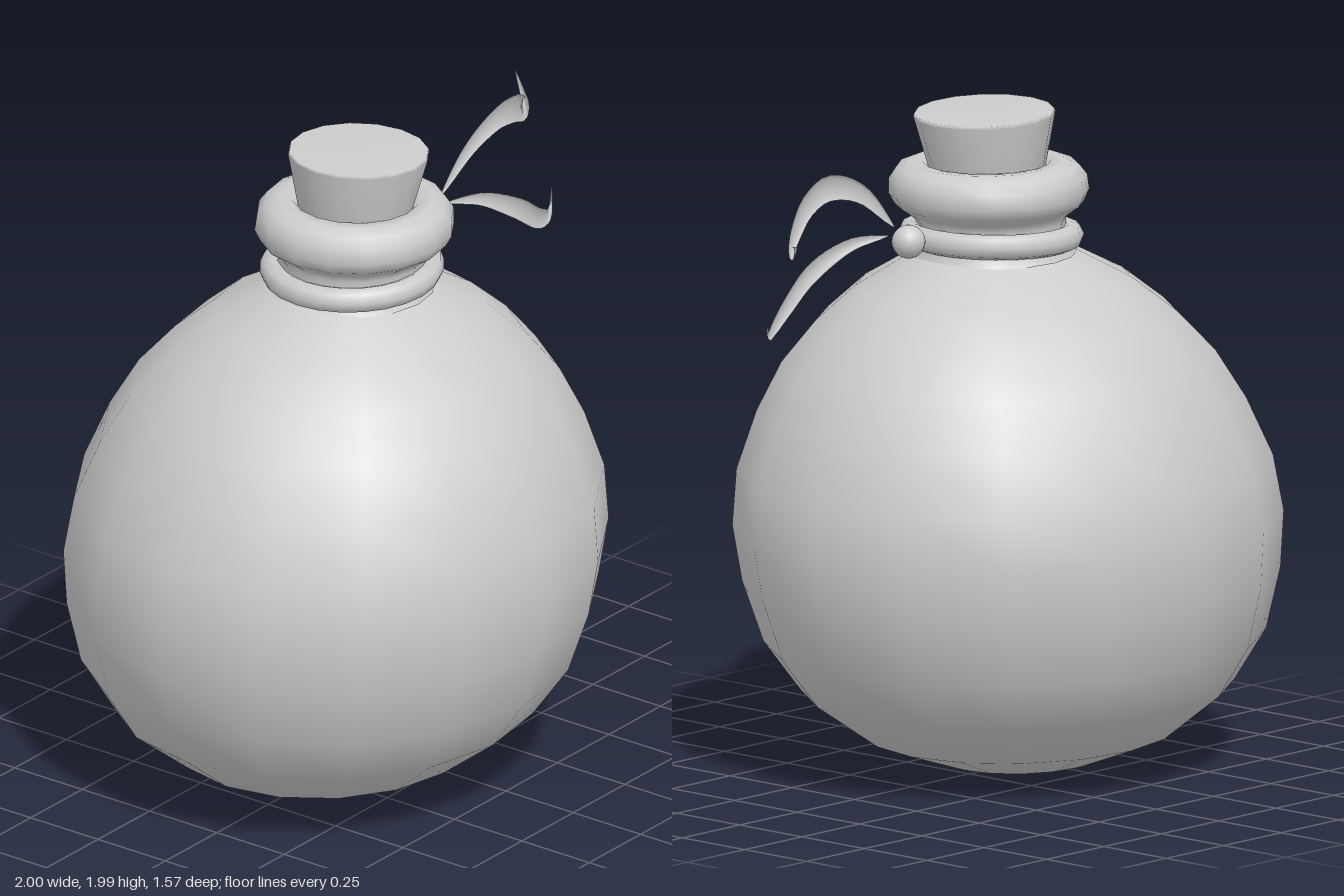
import * as THREE from 'three';

const grey = new THREE.MeshStandardMaterial({ color: 0xcccccc });
grey.name = 'plain grey';

// The whole flask leans a little: shift each height along the axis, and dip it to its left by a slope
function lean(geometry, slope) {
  const p = geometry.attributes.position;
  for (let i = 0; i < p.count; i++) {
    const x = p.getX(i), y = p.getY(i), z = p.getZ(i);
    p.setXYZ(i, x - 0.2 + 0.056 * y, y - slope * x, z - 0.03 + 0.026 * y);
  }
  return geometry;
}

function turned(name, profile, slope, depth = 1) {
  const points = profile.map(([r, y]) => new THREE.Vector2(r, y));
  const geometry = new THREE.LatheGeometry(points, 16);
  geometry.scale(1, 1, depth);
  lean(geometry, slope);
  geometry.computeBoundingSphere();
  const mesh = new THREE.Mesh(geometry, grey);
  mesh.name = name;
  return mesh;
}

// Tapered ribbon with a flat oval section whose wide side stands upright
function ribbon(name, path, width, thickness) {
  const curve = new THREE.CatmullRomCurve3(path.map((p) => new THREE.Vector3(...p)));
  const rings = 24, sides = 8, positions = [], index = [];
  for (let i = 0; i <= rings; i++) {
    const t = i / rings;
    const centre = curve.getPointAt(t), tangent = curve.getTangentAt(t);
    const side = new THREE.Vector3().crossVectors(tangent, new THREE.Vector3(0, 1, 0)).normalize();
    const up = new THREE.Vector3().crossVectors(side, tangent);
    const taper = 0.06 + 0.94 * Math.pow(Math.sin(Math.PI * t), 0.8);
    for (let j = 0; j < sides; j++) {
      const a = (j / sides) * Math.PI * 2;
      const v = centre.clone()
        .addScaledVector(side, Math.cos(a) * taper * thickness / 2)
        .addScaledVector(up, Math.sin(a) * taper * width / 2);
      positions.push(v.x, v.y, v.z);
      if (i < rings) {
        const b = i * sides + j, c = i * sides + (j + 1) % sides;
        index.push(b, c, b + sides, c, c + sides, b + sides);
      }
    }
  }
  // End caps
  const last = rings * sides;
  for (let j = 1; j < sides - 1; j++) {
    index.push(0, j + 1, j, last, last + j, last + j + 1);
  }
  const geometry = new THREE.BufferGeometry();
  geometry.setAttribute('position', new THREE.Float32BufferAttribute(positions, 3));
  geometry.setIndex(index);
  geometry.computeVertexNormals();
  const mesh = new THREE.Mesh(geometry, grey);
  mesh.name = name;
  return mesh;
}

export function createModel() {
  const group = new THREE.Group();
  group.name = 'flask';

  // Round body, slightly wider than deep
  group.add(turned('body', [
    [0, 0.005], [0.245, 0.03], [0.475, 0.11], [0.665, 0.25], [0.77, 0.4], [0.825, 0.585],
    [0.845, 0.755], [0.822, 0.925], [0.75, 1.1], [0.665, 1.245], [0.555, 1.365],
    [0.425, 1.47], [0.24, 1.57],
  ], 0.015, 0.93));

  // Neck flaring into a rolled lip
  group.add(turned('neckAndLip', [
    [0.25, 1.56], [0.225, 1.6], [0.222, 1.66], [0.24, 1.685], [0.28, 1.712], [0.297, 1.745],
    [0.293, 1.79], [0.27, 1.822], [0.23, 1.838], [0.19, 1.836], [0.165, 1.81],
  ], 0.015));

  // Tapered cork
  group.add(turned('cork', [
    [0.16, 1.77], [0.178, 1.84], [0.21, 1.978], [0.207, 1.987], [0, 1.991],
  ], 0.045));

  // Cord tied round the neck
  const cord = new THREE.TorusGeometry(0.236, 0.038, 8, 24);
  cord.rotateX(Math.PI / 2);
  cord.translate(0, 1.617, 0);
  const cordMesh = new THREE.Mesh(lean(cord, -0.025), grey);
  cordMesh.name = 'cord';
  group.add(cordMesh);

  // Knot beside the neck
  const knot = new THREE.Mesh(new THREE.SphereGeometry(0.05, 16, 12), grey);
  knot.name = 'knot';
  knot.position.set(0.248, 1.645, 0.015);
  group.add(knot);

  // Two loose cord ends
  group.add(ribbon('upperRibbon', [
    [0.295, 1.695, 0.03], [0.42, 1.81, 0.045], [0.57, 1.852, 0.035], [0.7, 1.825, 0],
    [0.84, 1.755, -0.07], [0.92, 1.735, -0.135], [1, 1.775, -0.23],
  ], 0.085, 0.03));
  group.add(ribbon('lowerRibbon', [
    [0.315, 1.67, 0.035], [0.43, 1.653, 0.08], [0.56, 1.585, 0.113], [0.67, 1.51, 0.103],
    [0.78, 1.463, 0.06], [0.86, 1.456, 0.01], [0.903, 1.492, -0.02],
  ], 0.065, 0.025));

  return group;
}
